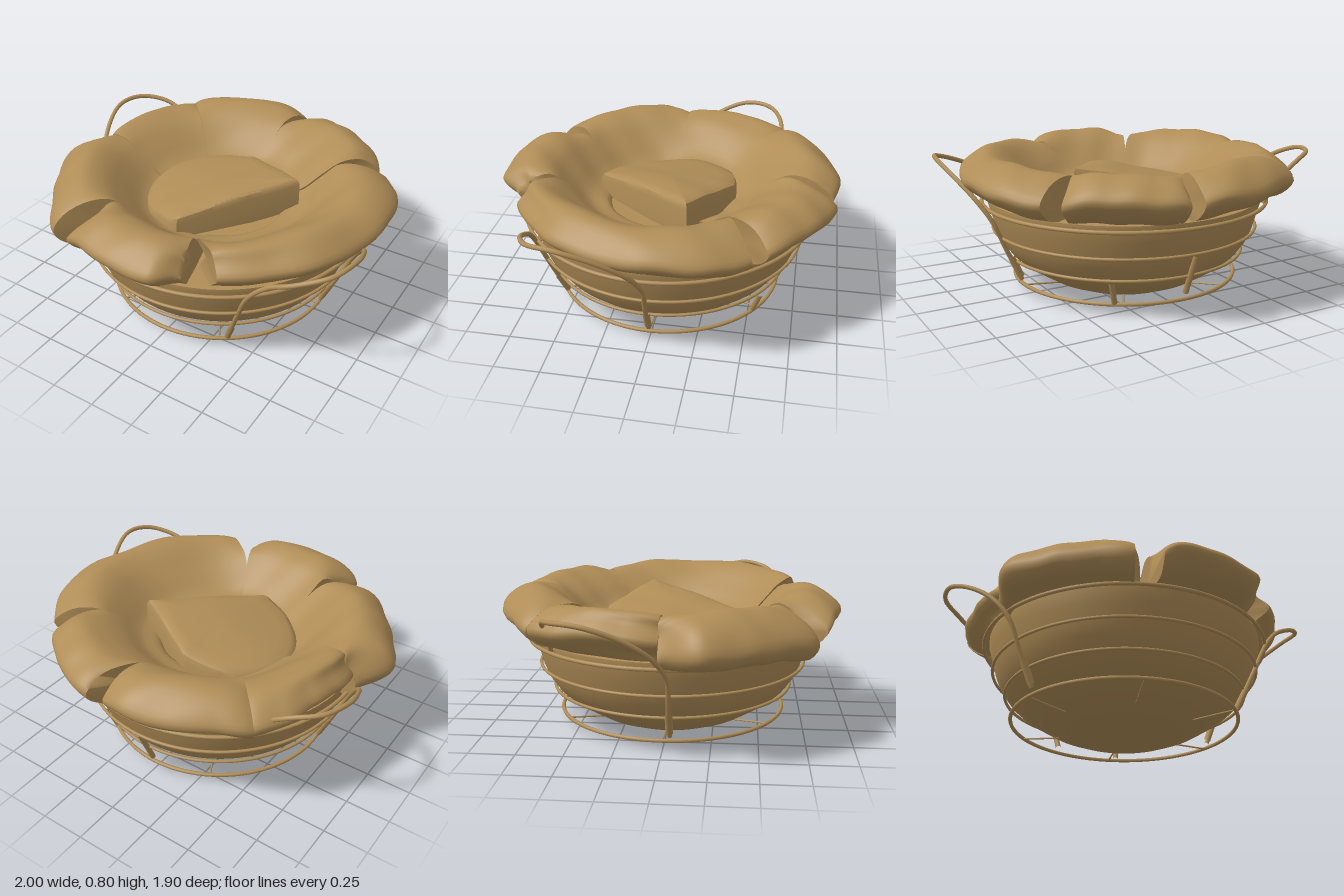
import * as THREE from 'three';
import { toCreasedNormals } from 'three/addons/utils/BufferGeometryUtils.js';

const tan = new THREE.MeshStandardMaterial({ color: 0xb08d57 });
tan.name = 'bakedTan';
const V = (x, y, z) => new THREE.Vector3(x, y, z);
const lerp = THREE.MathUtils.lerp;

function add(group, name, geometry) {
  const mesh = new THREE.Mesh(geometry, tan);
  mesh.name = name;
  group.add(mesh);
  return mesh;
}

// Skin a list of closed loops that all have the same number of points
function loft(loops, crease) {
  const n = loops[0].length, index = [];
  for (let i = 0; i < loops.length - 1; i++) {
    for (let j = 0; j < n; j++) {
      const a = i * n + j, d = i * n + (j + 1) % n;
      index.push(a, a + n, d + n, a, d + n, d);
    }
  }
  const g = new THREE.BufferGeometry().setFromPoints(loops.flat());
  g.setIndex(index);
  return toCreasedNormals(g, crease);
}

function tube(points, radius, segments = 8) {
  const curve = new THREE.CatmullRomCurve3(points.map(p => V(...p)));
  return new THREE.TubeGeometry(curve, segments, radius, 8);
}

// Gentle lumps for the crust
const lump = p => 0.007 * (Math.sin(9 * p.x + 4 * p.z) + Math.sin(11 * p.z - 5 * p.x + 1)
  + 0.5 * Math.sin(23 * p.x + 17 * p.z));

// Smooth interpolation through evenly spaced radii
function sample(list, u) {
  const x = u * (list.length - 1), i = Math.min(Math.floor(x), list.length - 2);
  return lerp(list[i], list[i + 1], THREE.MathUtils.smoothstep(x - i, 0, 1));
}

// A fat flap swept around the bowl; inner and outer are its end angles in degrees
function flap({ inner, outer, radii, tip = 0.66, top = 0.775, floor = 0.51, droop = 0.03 }) {
  const steps = 36, loops = [];
  for (let i = 0; i <= steps; i++) {
    const u = i / steps, end = Math.pow(Math.abs(2 * u - 1), 6);
    const r = sample(radii, u) * (1 - 0.02 * end), h = top - droop * end, edge = tip - 0.6 * droop * end;
    const profile = new THREE.CatmullRomCurve3([
      V(0.34, floor, 0), V(0.45, floor + 0.045, 0), V(0.56, floor + 0.135, 0),
      V(0.67, top - 0.035, 0), V(0.78, h, 0), V(r - 0.06, lerp(h, edge, 0.4), 0),
      V(r, edge, 0), V(r - 0.07, edge - 0.08, 0), V(0.76, 0.525, 0), V(0.56, 0.47, 0), V(0.34, 0.43, 0),
    ], true).getPoints(40).slice(0, 40);
    const loop = profile.map(p => {
      const t = THREE.MathUtils.smoothstep(p.x, 0.5, 0.88);
      const a = THREE.MathUtils.degToRad(lerp(lerp(inner[0], outer[0], t), lerp(inner[1], outer[1], t), u));
      const q = V(Math.cos(a) * p.x, p.y, Math.sin(a) * p.x);
      q.y += lump(q);
      return q;
    });
    // Close both cut ends
    const middle = loop.reduce((s, p) => s.add(p), V(0, 0, 0)).divideScalar(loop.length);
    const cap = loop.map(() => middle.clone());
    if (i === 0) loops.push(cap);
    loops.push(loop);
    if (i === steps) loops.push(cap);
  }
  return loft(loops, 0.9);
}

// Tilted centre slab: round on one side, cut straight on the other
function centreSlab() {
  const shape = new THREE.Shape();
  shape.moveTo(0.4, -0.16);
  shape.lineTo(-0.05, 0.42);
  shape.splineThru([[-0.26, 0.34], [-0.41, 0.18], [-0.47, -0.02], [-0.41, -0.2], [-0.25, -0.34], [-0.02, -0.38]]
    .map(p => new THREE.Vector2(...p)));
  shape.closePath();
  const outline = shape.getSpacedPoints(80).slice(0, 80).reverse();
  const rings = [[0, 0], [0.25, 0], [0.5, 0], [0.75, 0], [0.9, 0.003], [0.97, 0.015], [1, 0.045], [1, 0.2]];
  return loft(rings.map(([s, drop]) => outline.map(p => {
    const q = V(p.x * s, 0, p.y * s);
    q.y = 0.65 + 0.2 * q.x - 0.02 * q.z + 0.02 * (1 - s * s) - drop + 0.6 * lump(q);
    return q;
  })), 0.7);
}

export function createModel() {
  const model = new THREE.Group();
  model.name = 'breadBowlInWireBasket';

  // Bowl with a filled inside
  const bowl = [[0, 0], [0.33, 0], [0.45, 0.05], [0.53, 0.1], [0.6, 0.145], [0.66, 0.2], [0.71, 0.27],
    [0.74, 0.34], [0.765, 0.43], [0.785, 0.5], [0.785, 0.52], [0.74, 0.525], [0.4, 0.5], [0, 0.5]]
    .map(p => new THREE.Vector2(...p));
  add(model, 'bowl', toCreasedNormals(new THREE.LatheGeometry(bowl, 72), 0.3));

  // Flaps around the rim
  const flaps = {
    frontFlap: { inner: [71, 121], outer: [72, 117], radii: [0.87, 0.95, 0.95, 0.95, 0.95, 0.97], top: 0.77, droop: 0.07 },
    frontRightFlap: { inner: [120, 181], outer: [126, 180], radii: [1, 0.96, 0.97, 1, 0.88], tip: 0.59, top: 0.765 },
    rightFlap: { inner: [179, 228], outer: [180, 227], radii: [0.86, 0.87, 0.89, 0.94, 0.97], floor: 0.525 },
    backRightFlap: { inner: [225, 271], outer: [225.5, 274.5], radii: [0.98, 0.95, 0.955, 0.96, 0.94], top: 0.785, floor: 0.54 },
    backLeftFlap: { inner: [269, 324], outer: [280, 318.5], radii: [0.97, 0.955, 0.94, 0.94], top: 0.78, floor: 0.54 },
    leftFlap: { inner: [321, 433], outer: [325, 420], radii: [0.96, 0.975, 0.96, 0.93, 0.93, 0.89, 0.89], floor: 0.525 },
  };
  for (const [name, spec] of Object.entries(flaps)) add(model, name, flap(spec));
  add(model, 'centreSlab', centreSlab());

  // Wire hoops of the basket
  for (const [r, y, wire] of [[0.64, 0.06, 0.011], [0.68, 0.2, 0.009], [0.757, 0.34, 0.009], [0.815, 0.495, 0.011]]) {
    const hoop = add(model, 'wireHoop', new THREE.TorusGeometry(r, wire, 8, 96));
    hoop.rotation.x = Math.PI / 2;
    hoop.position.y = y;
  }

  // Two handles, one turned half way round, flatter and with a shorter back leg
  for (const [name, turn, shift, lift, first] of [['leftHandle', 0, 0, 0, 0], ['rightHandle', Math.PI, 0.04, 0.04, 2]]) {
    const side = new THREE.Group();
    side.name = name;
    side.rotation.y = turn;
    side.position.z = shift;
    model.add(side);
    add(side, 'handleWire', tube([[0.36, 0.07, 0.53], [0.45, 0.3, 0.59], [0.54, 0.5, 0.63], [0.64, 0.6 + lift / 2, 0.625],
      [0.78, 0.67 + lift, 0.615], [0.93, 0.725 + lift / 2, 0.53], [0.985, 0.74, 0.38], [0.95, 0.67, 0.2],
      [0.88, 0.56, 0.06], [0.81, 0.44, 0], [0.73, 0.26, 0], [0.65, 0.09, 0]].slice(first), 0.013, 80));
    add(side, 'handleSleeve', tube([[0.71, 0.23, 0], [0.655, 0.11, 0]], 0.02));
  }

  // Short struts and thin spokes under the bowl
  add(model, 'frontStrut', tube([[0.36, 0.08, 0.53], [0.41, 0.2, 0.565]], 0.018));
  add(model, 'backStrut', tube([[0, 0.33, -0.745], [0, 0.1, -0.65]], 0.016));
  add(model, 'backLeftStrut', tube([[0.4, 0.2, -0.57], [0.36, 0.07, -0.53]], 0.016));
  for (let i = 0; i < 6; i++) {
    const a = i * Math.PI / 3, c = Math.cos(a), s = Math.sin(a);
    add(model, 'baseSpoke', tube([[0.64 * c, 0.055, 0.64 * s], [0.4 * c, 0.03, 0.4 * s]], 0.005));
  }
  return model;
}
